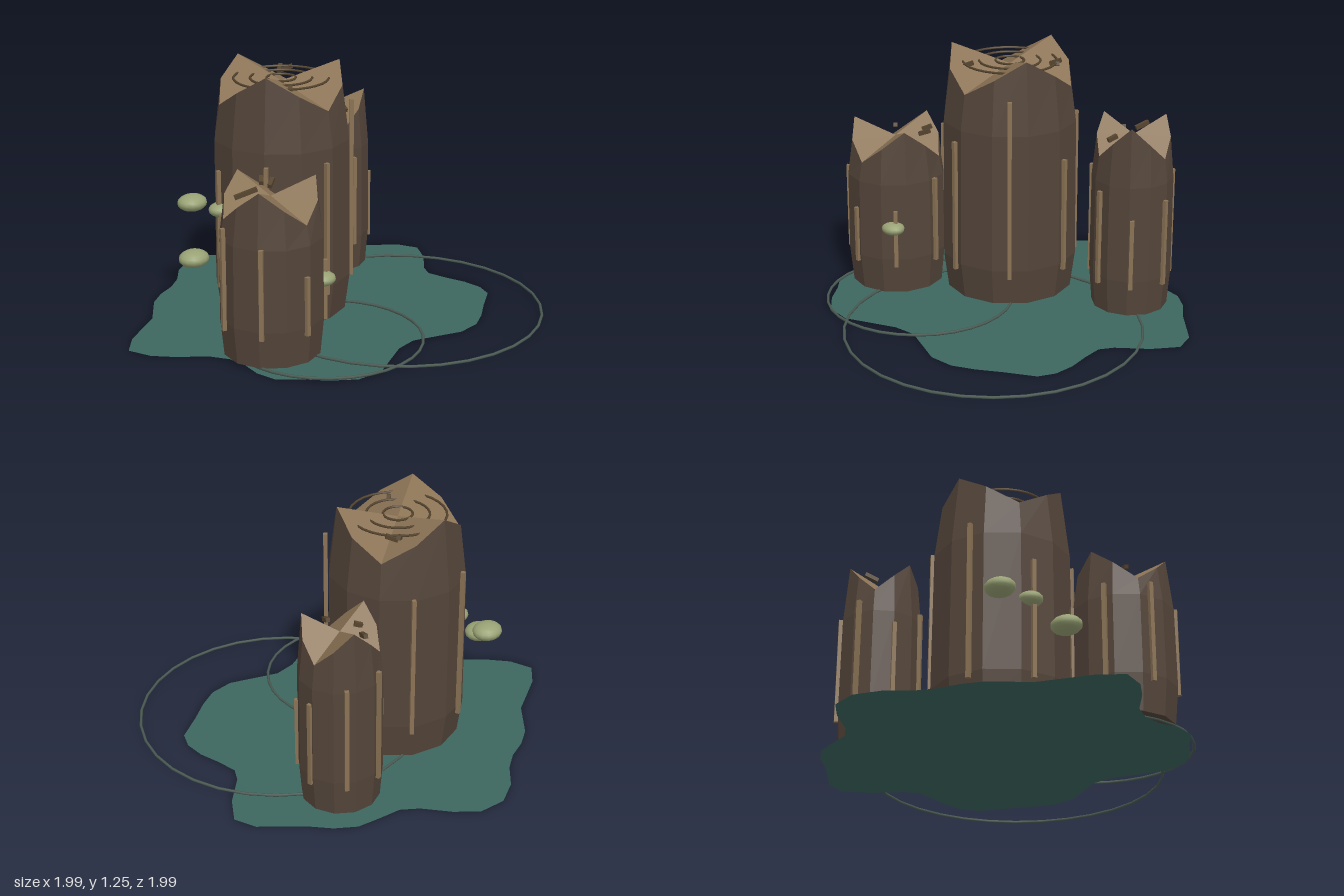
import * as THREE from 'three';

const paint = (name, color, extra = {}) => {
  const m = new THREE.MeshStandardMaterial({ color, ...extra });
  m.name = name;
  return m;
};

export function createModel() {
  const bark = paint('bark', 0x54453a, { flatShading: true });
  const wood = paint('cutWood', 0x8b7355, { flatShading: true });
  const water = paint('water', 0x3d665f, { side: THREE.DoubleSide });
  const ripple = paint('ripple', 0x4a5a52);
  const fungus = paint('fungus', 0x98a274);
  const dark = paint('darkWood', 0x56452f);

  const model = new THREE.Group();
  model.name = 'swampStumps';
  const add = (parent, name, geometry, material, x = 0, y = 0, z = 0) => {
    const mesh = new THREE.Mesh(geometry, material);
    mesh.name = name;
    mesh.position.set(x, y, z);
    parent.add(mesh);
    return mesh;
  };
  const surface = (triangles) => {
    const g = new THREE.BufferGeometry();
    g.setAttribute('position', new THREE.Float32BufferAttribute(triangles.flat(), 3));
    g.computeVertexNormals();
    return g;
  };

  // Pond: a flat sheet with a wavy outline, as x, z pairs
  const shore = [
    [0, -1], [.135, -.98], [.23, -.89], [.32, -.765], [.395, -.705], [.505, -.685], [.62, -.66],
    [.71, -.59], [.785, -.495], [.955, -.33], [.99, -.22], [.905, -.105], [.775, .005], [.735, .07],
    [.745, .175], [.765, .285], [.76, .39], [.72, .47], [.58, .55], [.47, .62], [.365, .67],
    [.24, .675], [.115, .62], [0, .57], [-.115, .58], [-.235, .63], [-.365, .685], [-.5, .665],
    [-.6, .575], [-.67, .48], [-.755, .39], [-.765, .28], [-.74, .18], [-.74, .08], [-.785, -.015],
    [-.895, -.125], [-.965, -.22], [-.995, -.34], [-.895, -.43], [-.66, -.55], [-.515, -.7],
    [-.42, -.755], [-.315, -.79], [-.225, -.845], [-.125, -.94],
  ];
  const pond = new THREE.Shape(shore.map(([x, z]) => new THREE.Vector2(x, -z)));
  add(model, 'pond', new THREE.ShapeGeometry(pond).rotateX(-Math.PI / 2), water);

  // Ripples on the water
  for (const [x, z, r] of [[.24, .27, .715], [-.28, .265, .463]]) {
    add(model, 'ripple', new THREE.TorusGeometry(r, .007, 6, 32).rotateX(Math.PI / 2), ripple, x, .018, z);
  }

  // Broken trunk: faceted bark wall, three-pointed rim, shallow wooden top
  const N = 12, BASE = .02;
  function trunk({ name, x, z, r, mid, amp, peak, firstStrip, stripTops, twigs }) {
    const group = new THREE.Group();
    group.name = name;
    group.position.set(x, 0, z);
    model.add(group);

    const angle = (i) => (i % N) / N * Math.PI * 2 + peak;
    const at = (i, radius, y) => [Math.sin(angle(i)) * radius, y, Math.cos(angle(i)) * radius];
    const rimY = (i) => mid + amp * Math.cos(3 * (angle(i) - peak));
    const rings = [
      (i) => at(i, r * .93, BASE),
      (i) => at(i, r, .2),
      (i) => at(i, r * .985, mid * .77),
      (i) => at(i, r * (.885 - .02 * Math.cos(3 * (angle(i) - peak))), rimY(i)),
    ];
    const wall = [], top = [];
    for (let i = 0; i < N; i++) {
      for (let k = 0; k < 3; k++) {
        const a = rings[k](i), b = rings[k](i + 1), c = rings[k + 1](i + 1), d = rings[k + 1](i);
        wall.push(...a, ...b, ...c, ...a, ...c, ...d);
      }
      wall.push(0, BASE, 0, ...rings[0](i + 1), ...rings[0](i));
      top.push(0, mid + .005, 0, ...rings[3](i), ...rings[3](i + 1));
    }
    add(group, 'barkWall', surface(wall), bark);
    add(group, 'brokenTop', surface(top), wood);

    // Seven raised bark strips
    stripTops.forEach((topY, i) => {
      const a = THREE.MathUtils.degToRad(firstStrip + i * 360 / 7), h = topY - .165;
      const strip = add(group, 'barkStrip', new THREE.BoxGeometry(.02, h, .02), wood,
        Math.sin(a) * r, .165 + h / 2, Math.cos(a) * r);
      strip.rotation.y = a;
    });

    // Splinters lying on the broken top: x, y, z, length, turn
    for (const [tx, ty, tz, length, turn] of twigs) {
      const twig = add(group, 'splinter', new THREE.BoxGeometry(length, .02, .02), dark, tx - x, ty, tz - z);
      twig.rotation.set(0, turn, .35);
    }
    return group;
  }

  const deg = Math.PI / 180;
  const tall = trunk({
    name: 'tallTrunk', x: -.105, z: -.19, r: .34, mid: 1.16, amp: .09, peak: 60 * deg,
    firstStrip: -7, stripTops: [.83, 1.07, .74, .9, .95, .76, .83],
    twigs: [[.05, 1.17, -.35, .06, .6], [.08, 1.17, -.33, .06, -.8], [-.22, 1.17, -.02, .05, .7]],
  });
  trunk({
    name: 'slimTrunk', x: .5, z: -.42, r: .2, mid: .885, amp: .085, peak: 37 * deg,
    firstStrip: -10, stripTops: [.64, .52, .6, .7, .74, .62, .72],
    twigs: [[.46, .9, -.53, .07, 1.1], [.41, .9, -.445, .04, -.6], [.47, .89, -.3, .05, 1.2]],
  });
  trunk({
    name: 'shortTrunk', x: -.55, z: .17, r: .248, mid: .77, amp: .085, peak: 60 * deg,
    firstStrip: -5, stripTops: [.45, .46, .6, .6, .65, .66, .6],
    twigs: [[-.635, .79, .095, .11, -.7], [-.47, .8, .03, .05, .8], [-.445, .79, .07, .06, .5]],
  });

  // Growth rings across the tall trunk's top
  for (const r of [.07, .15, .23]) {
    add(tall, 'growthRing', new THREE.TorusGeometry(r, .006, 5, 28).rotateX(Math.PI / 2), dark, 0, 1.18, 0);
  }

  // Rounded shelf fungi: x, y, z, radius
  for (const [x, y, z, r] of [
    [-.385, .37, .345, .06], [-.41, .55, -.51, .077], [-.61, .37, -.29, .077], [-.405, .56, -.31, .065],
  ]) {
    add(model, 'fungus', new THREE.SphereGeometry(r, 14, 10).scale(1, .55, .9), fungus, x, y, z);
  }

  return model;
}
